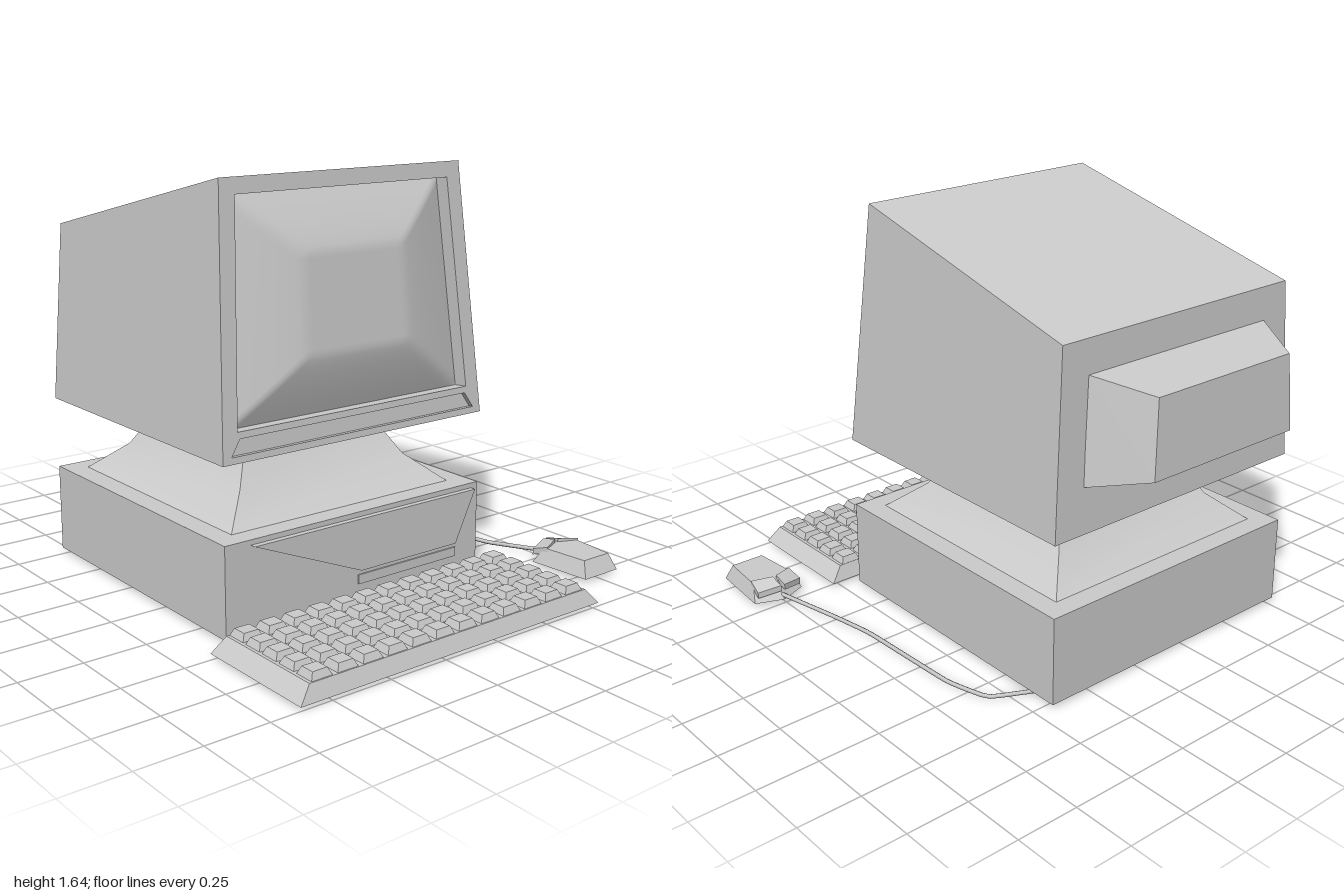
import * as THREE from 'three';
import { toCreasedNormals } from 'three/addons/utils/BufferGeometryUtils.js';

const CX = -0.175; // centre line of the computer and keyboard
const material = new THREE.MeshStandardMaterial({ color: 0xcccccc });

function addMesh(parent, name, geometry) {
  const mesh = new THREE.Mesh(geometry, material);
  mesh.name = name;
  parent.add(mesh);
  return mesh;
}

// Skin between rings of [x, y, z] points, with optional end caps
function loft(rings, capStart = true, capEnd = true) {
  const pos = [];
  const tri = (a, b, c) => pos.push(...a, ...b, ...c);
  const n = rings[0].length;
  for (let r = 0; r < rings.length - 1; r++) {
    for (let i = 0; i < n; i++) {
      const j = (i + 1) % n, lo = rings[r], hi = rings[r + 1];
      tri(lo[i], lo[j], hi[j]);
      tri(lo[i], hi[j], hi[i]);
    }
  }
  const first = rings[0], last = rings[rings.length - 1];
  for (let i = 1; i < n - 1; i++) {
    if (capStart) tri(first[0], first[i + 1], first[i]);
    if (capEnd) tri(last[0], last[i], last[i + 1]);
  }
  const g = new THREE.BufferGeometry();
  g.setAttribute('position', new THREE.Float32BufferAttribute(pos, 3));
  return toCreasedNormals(g, 0.45);
}

// Level rectangle of half sizes hx, hz
const rect = (cx, cz, hx, hz, y) => [
  [cx - hx, y, cz + hz], [cx + hx, y, cz + hz], [cx + hx, y, cz - hz], [cx - hx, y, cz - hz]];

// Upright trapezium, symmetric about the centre line
const trapezium = (hx0, hx1, y0, y1, z0, z1 = z0) => [
  [CX - hx0, y0, z0], [CX + hx0, y0, z0], [CX + hx1, y1, z1], [CX - hx1, y1, z1]];

// Point on the leaning monitor front, sunk by a depth
const onFront = (x, y, depth = 0) => [x, y - depth * 0.092, 0.435 - 0.092 * (y - 0.66) - depth];

function createMonitor() {
  const monitor = new THREE.Group();
  monitor.name = 'monitor';

  // Shell, open at the front
  addMesh(monitor, 'monitorShell', loft([
    trapezium(0.61, 0.566, 0.66, 1.375, -0.785, -0.76),
    trapezium(0.61, 0.55, 0.66, 1.64, 0.435, 0.345)], true, false));
  addMesh(monitor, 'monitorUnderside', loft([
    rect(CX, -0.175, 0.305, 0.305, 0.63), rect(CX, -0.175, 0.61, 0.61, 0.66)]));
  addMesh(monitor, 'tubeHousing', loft([
    trapezium(0.355, 0.335, 0.9, 1.2, -1.0, -0.985),
    trapezium(0.475, 0.45, 0.84, 1.245, -0.78, -0.762)]));

  // Front bezel with screen opening and lower slot
  const outline = [[-0.61, 0.66], [0.61, 0.66], [0.55, 1.64], [-0.55, 1.64]];
  const screenHole = [[-0.54, 0.77], [0.54, 0.77], [0.4875, 1.58], [-0.4875, 1.58]];
  const slotHole = [[-0.572, 0.685], [0.572, 0.685], [0.532, 0.745], [-0.532, 0.745]];
  const toPath = (P, pts) => new P(pts.map(([x, y]) => new THREE.Vector2(x + CX, y)));
  const shape = toPath(THREE.Shape, outline);
  shape.holes.push(toPath(THREE.Path, screenHole), toPath(THREE.Path, slotHole));
  const bezel = new THREE.ShapeGeometry(shape);
  const bp = bezel.attributes.position;
  for (let i = 0; i < bp.count; i++) bp.setXYZ(i, ...onFront(bp.getX(i), bp.getY(i)));
  bezel.computeVertexNormals();
  addMesh(monitor, 'bezel', bezel);

  // Recess walls
  const sunk = (pts, d) => pts.map(([x, y]) => onFront(x + CX, y, d));
  addMesh(monitor, 'screenRecess', loft([sunk(screenHole, 0), sunk(screenHole, 0.06)], false, false));
  addMesh(monitor, 'bezelSlot', loft([sunk(slotHole, 0), sunk(slotHole, 0.02)], false, true));

  // Bulging screen: flat middle, falling away to the edges
  const screen = new THREE.PlaneGeometry(2, 2, 40, 40);
  const sp = screen.attributes.position;
  for (let i = 0; i < sp.count; i++) {
    const u = sp.getX(i), v = sp.getY(i);
    const t = Math.max(0, (Math.max(Math.abs(u), Math.abs(v)) - 0.45) / 0.55);
    const half = THREE.MathUtils.lerp(0.54, 0.4875, (v + 1) / 2);
    sp.setXYZ(i, ...onFront(CX + u * half, 1.175 + v * 0.405, -0.023 + 0.083 * t ** 1.2));
  }
  screen.computeVertexNormals();
  addMesh(monitor, 'screen', screen);
  return monitor;
}

function createBase() {
  const base = new THREE.Group();
  base.name = 'systemUnit';
  addMesh(base, 'case', loft([
    rect(CX, -0.175, 0.607, 0.607, 0.015), rect(CX, -0.175, 0.607, 0.607, 0.37)]));
  // Flared stand for the monitor
  addMesh(base, 'stand', loft([
    rect(CX, -0.175, 0.52, 0.522, 0.37), rect(CX, -0.175, 0.393, 0.395, 0.48),
    rect(CX, -0.175, 0.305, 0.305, 0.63)]));
  // Raised panel and drive slot on the front
  const panel = z => [[-0.18, 0.145, z], [0.3, 0.145, z], [0.4, 0.35, z], [-0.67, 0.35, z]];
  addMesh(base, 'frontPanel', loft([panel(0.43), panel(0.455)]));
  const slot = z => [[-0.18, 0.085, z], [0.315, 0.085, z], [0.315, 0.122, z], [-0.18, 0.122, z]];
  addMesh(base, 'driveSlot', loft([slot(0.43), slot(0.438)]));
  return base;
}

function createKeyboard() {
  const keyboard = new THREE.Group();
  keyboard.name = 'keyboard';
  addMesh(keyboard, 'keyboardBody', loft([
    rect(CX, 0.74, 0.705, 0.26, 0.013), rect(CX, 0.74, 0.653, 0.237, 0.073)]));
  // Five rows of twelve tapered keys
  const key = loft([rect(0, 0, 0.045, 0.042, 0.07), rect(0, 0, 0.031, 0.029, 0.1)], false);
  for (let row = 0; row < 5; row++) {
    for (let col = 0; col < 12; col++) {
      addMesh(keyboard, 'key', key).position.set(CX + (col - 5.5) * 0.1085, 0, 0.545 + row * 0.0965);
    }
  }
  return keyboard;
}

function createMouse() {
  const mouse = new THREE.Group();
  mouse.name = 'mouse';
  const MX = 0.758;
  const ring = (back, front, zBack, zSide, zTip, y) => [
    [MX - back, y, zBack], [MX + back, y, zBack], [MX + front, y, zSide],
    [MX, y, zTip], [MX - front, y, zSide]];
  addMesh(mouse, 'mouseBody', loft([
    ring(0.092, 0.112, 0.815, 0.545, 0.5, 0.015),
    ring(0.07, 0.088, 0.785, 0.59, 0.55, 0.08)]));
  // Two sloping buttons at the cable end
  for (const s of [-1, 1]) {
    const button = (drop) => {
      const pts = [[0.09, 0.078, 0.605], [0.008, 0.085, 0.57], [0.008, 0.07, 0.505], [0.1, 0.055, 0.535]]
        .map(([x, y, z]) => [MX + s * x, y + 0.01 - drop, z]);
      return s > 0 ? pts.reverse() : pts;
    };
    addMesh(mouse, 'mouseButton', loft([button(0.025), button(0)]));
  }
  // Cable from the case to the mouse
  const path = [[0.42, 0.009, -0.66], [0.57, 0.009, -0.58], [0.62, 0.009, -0.4], [0.64, 0.009, 0.06],
    [0.675, 0.01, 0.26], [0.755, 0.03, 0.52]].map(p => new THREE.Vector3(...p));
  const curve = new THREE.CatmullRomCurve3(path, false, 'catmullrom', 0.15);
  addMesh(mouse, 'cable', new THREE.TubeGeometry(curve, 40, 0.009, 6));
  return mouse;
}

export function createModel() {
  const model = new THREE.Group();
  model.name = 'desktopComputer';
  model.add(createMonitor(), createBase(), createKeyboard(), createMouse());
  return model;
}
